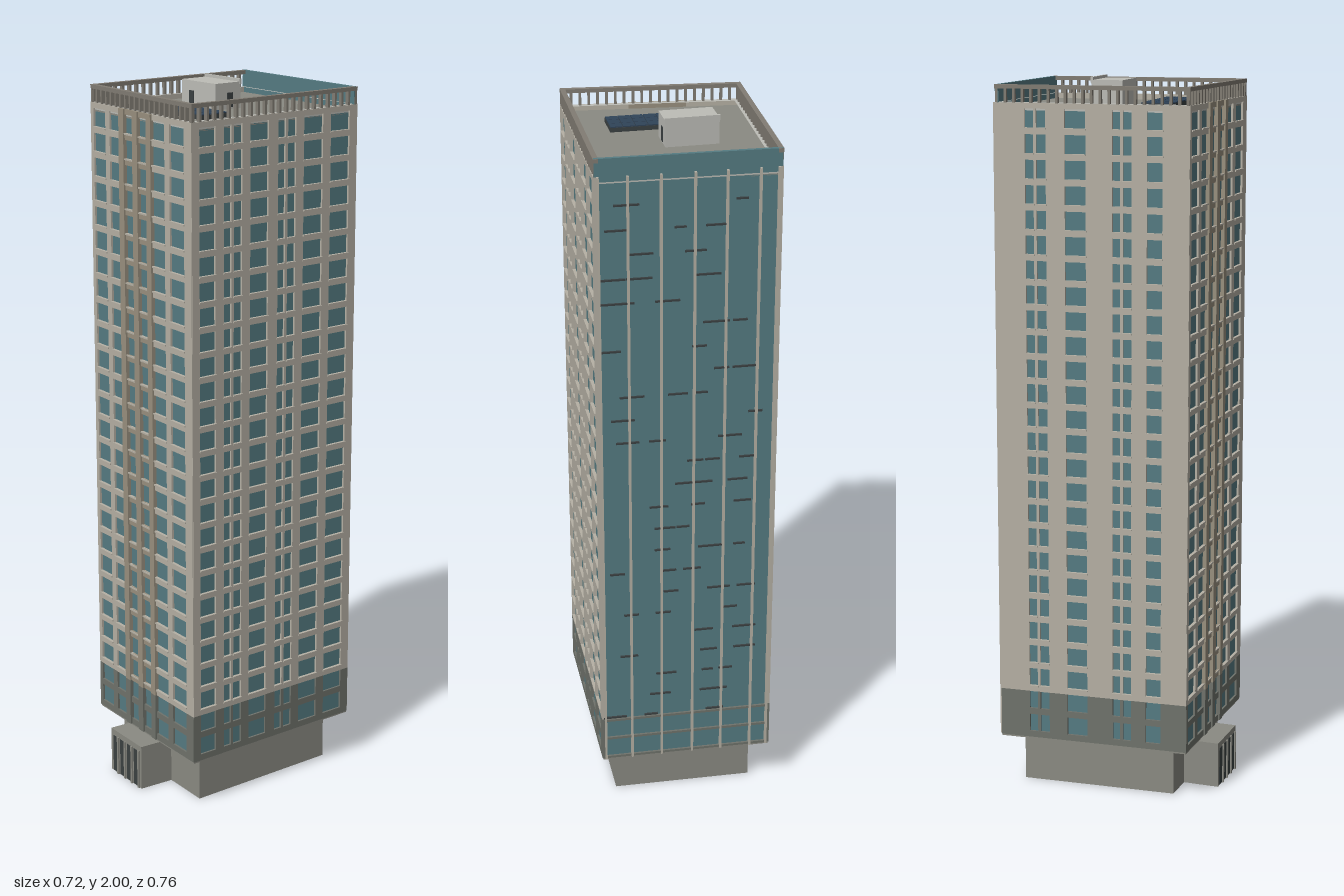
import * as THREE from 'three';
import { mergeGeometries } from 'three/addons/utils/BufferGeometryUtils.js';

const material = (name, color) => {
  const m = new THREE.MeshStandardMaterial({ color });
  m.name = name;
  return m;
};
const wall = material('pale concrete', 0xb6b1a5);
const tan = material('tan concrete', 0x99907f);
const stone = material('grey stone', 0x8b8b83);
const skirt = material('dark cladding', 0x70736c);
const glass = material('blue green glass', 0x567c83);
const dark = material('dark trim', 0x3b4142);
const rail = material('railing metal', 0x827d74);
const cap = material('light grey roofing', 0xbdbdb7);
const solar = material('solar blue', 0x304459);

// Plan corners (x, z): back, right, front, left
const BACK = [-0.02, -0.382], RIGHT = [0.36, -0.072], FRONT = [0.005, 0.38], LEFT = [-0.362, 0.043];
const INSET = 0.98, BOTTOM = 0.145, BAND = 0.282, TOP = 1.935, ROWS = 26;
const PITCH = (1.92 - BOTTOM) / ROWS;

// Box given by its limits on each axis
function box(x0, x1, y0, y1, z0, z1) {
  return new THREE.BoxGeometry(x1 - x0, y1 - y0, z1 - z0)
    .translate((x0 + x1) / 2, (y0 + y1) / 2, (z0 + z1) / 2);
}

function add(parent, name, mat, geos) {
  if (!geos.length) return;
  const mesh = new THREE.Mesh(mergeGeometries(geos), mat);
  mesh.name = name;
  parent.add(mesh);
}

// Four-sided block following the plan, scaled about the centre
function prism(scale, y0, y1, hole) {
  const pts = s => [BACK, RIGHT, FRONT, LEFT].map(([x, z]) => new THREE.Vector2(x * s, -z * s));
  const shape = new THREE.Shape(pts(scale));
  if (hole) shape.holes.push(new THREE.Path(pts(hole)));
  return new THREE.ExtrudeGeometry(shape, { depth: y1 - y0, bevelEnabled: false })
    .rotateX(-Math.PI / 2).translate(0, y0, 0);
}

// Group whose x runs along one side of the plan and whose z points outward
function side(root, name, p, q) {
  const g = new THREE.Group();
  const dx = (q[0] - p[0]) * INSET, dz = (q[1] - p[1]) * INSET;
  g.name = name;
  g.position.set(p[0] * INSET, 0, p[1] * INSET);
  g.rotation.y = Math.atan2(-dz, dx);
  root.add(g);
  return [g, Math.hypot(dx, dz)];
}

// Concrete grid around window columns; windows are [start, end] fractions
function facade(g, len, windows, bay) {
  const pale = [], low = [], tinted = [];
  const inBay = t => bay && t > bay[0] && t < bay[1];
  let from = -0.005 / len;
  for (const [a, b] of [...windows, [1 + 0.005 / len, 0]]) {
    const special = inBay((from + a) / 2), z = special ? 0.011 : 0.006;
    low.push(box(from * len, a * len, BOTTOM, BAND, -0.003, z));
    (special ? tinted : pale).push(box(from * len, a * len, BAND, 1.935, -0.003, z));
    from = b;
  }
  for (const [a, b] of windows) {
    for (let i = 0; i <= ROWS; i++) {
      const y = BOTTOM + i * PITCH;
      const list = y < BAND - 0.03 ? low : inBay((a + b) / 2) ? tinted : pale;
      list.push(box(a * len, b * len, y, i === ROWS ? 1.935 : y + 0.018, -0.003, 0.006));
    }
  }
  add(g, 'wallGrid', wall, pale);
  add(g, 'lowerCladding', skirt, low);
  add(g, 'bayPiers', tan, tinted);
  // Thin sills
  const sills = [];
  for (const [a, b] of windows)
    for (let i = 2; i < ROWS; i++) {
      const y = BOTTOM + i * PITCH + 0.014;
      sills.push(box(a * len - 0.002, b * len + 0.002, y, y + 0.004, 0, 0.009));
    }
  add(g, 'windowSills', wall, sills);
  // Open railing above the wall
  const bars = [box(-0.005, len + 0.005, 1.972, 1.983, -0.008, 0.006)];
  const n = Math.round(len / 0.024);
  for (let i = 0; i <= n; i++) {
    const x = i * len / n;
    bars.push(box(x - 0.0035, x + 0.0035, TOP, 1.973, -0.006, 0.005));
  }
  add(g, 'roofRailing', rail, bars);
}

// Glass side with slim fins and scattered floor trims
function curtainWall(g, len) {
  const fins = [], trims = [], frames = [];
  for (const t of [0.01, 0.17, 0.35, 0.535, 0.71, 0.89, 0.99])
    fins.push(box(t * len - 0.003, t * len + 0.003, BOTTOM, 1.935, -0.002, 0.012));
  let seed = 7;
  const rand = () => (seed = (seed * 16807) % 2147483647) / 2147483647;
  for (let i = 2; i < ROWS; i++)
    for (let k = 0; k < 3; k++) {
      const x = rand() * 0.85 * len, y = BOTTOM + i * PITCH;
      trims.push(box(x, x + 0.03 + rand() * 0.04, y, y + 0.005, -0.001, 0.005));
    }
  for (const y of [BOTTOM, 0.21, BAND - 0.01]) frames.push(box(0, len, y, y + 0.007, -0.002, 0.006));
  add(g, 'fins', wall, fins);
  add(g, 'floorTrims', dark, trims);
  add(g, 'lowerFrames', skirt, frames);
  add(g, 'glassParapet', glass, [box(-0.004, len + 0.004, 1.92, 1.983, -0.006, 0.004)]);
}

export function createModel() {
  const root = new THREE.Group();
  root.name = 'tower';

  // Main volumes
  add(root, 'base', stone, [prism(0.81, 0, 0.15)]);
  add(root, 'soffit', stone, [prism(0.995, 0.14, 0.147)]);
  add(root, 'glazedCore', glass, [prism(INSET, 0.146, 1.915)]);
  add(root, 'roofDeck', stone, [prism(INSET, 1.91, 1.92)]);
  add(root, 'roofCurb', cap, [prism(0.985, 1.915, 1.936, 0.93)]);

  // Four sides
  const [entry, entryLen] = side(root, 'entranceSide', LEFT, FRONT);
  facade(entry, entryLen, [[0.02, 0.145], [0.19, 0.3], [0.35, 0.44], [0.49, 0.58], [0.625, 0.75], [0.8, 0.94]], [0.29, 0.64]);
  const [east, eastLen] = side(root, 'windowedSide', FRONT, RIGHT);
  facade(east, eastLen, [[0.035, 0.13], [0.18, 0.225], [0.24, 0.29], [0.34, 0.45], [0.51, 0.555], [0.57, 0.62], [0.67, 0.79], [0.84, 0.96]]);
  const [glazed, glazedLen] = side(root, 'glassSide', RIGHT, BACK);
  curtainWall(glazed, glazedLen);
  const [solid, solidLen] = side(root, 'solidSide', BACK, LEFT);
  facade(solid, solidLen, [[0.15, 0.195], [0.21, 0.26], [0.36, 0.47], [0.61, 0.65], [0.665, 0.71], [0.79, 0.87]]);

  // Entrance block with doors, placed outward from the base
  const porch = new THREE.Group();
  porch.name = 'entrance';
  porch.rotation.y = entry.rotation.y;
  root.add(porch);
  add(porch, 'entranceBlock', stone, [box(-0.099, 0.064, 0, 0.13, 0.2, 0.326)]);
  const doors = [], posts = [];
  for (let i = 0; i < 4; i++) {
    const x = -0.087 + i * 0.037;
    doors.push(box(x, x + 0.025, 0.002, 0.112, 0.322, 0.327));
    posts.push(box(x + 0.025, x + 0.032, 0, 0.115, 0.322, 0.331));
  }
  add(porch, 'doors', dark, doors);
  add(porch, 'doorPosts', stone, posts);

  // Roof hut
  const hut = new THREE.Group();
  hut.name = 'roofHut';
  hut.position.set(-0.0425, 0, -0.045);
  hut.rotation.y = -0.645;
  root.add(hut);
  add(hut, 'hutWalls', cap, [box(-0.073, 0.073, 1.915, 1.992, -0.043, 0.045), box(-0.075, 0.075, 1.985, 2, -0.045, -0.038)]);
  add(hut, 'hutOpenings', dark, [
    box(0.071, 0.075, 1.925, 1.965, -0.015, 0.005),
    box(-0.04, -0.02, 1.925, 1.965, 0.043, 0.047),
  ]);

  // Solar array, 8 by 3 cells over a dark frame
  const array = new THREE.Group();
  array.name = 'solarArray';
  array.position.set(-0.087, 0, 0.103);
  array.rotation.y = -0.658;
  root.add(array);
  add(array, 'solarFrame', dark, [box(-0.139, 0.139, 1.915, 1.932, -0.0445, 0.0445)]);
  const cells = [];
  for (let i = 0; i < 8; i++)
    for (let j = 0; j < 3; j++) {
      const x = -0.139 + i * 0.03475, z = -0.0445 + j * 0.02967;
      cells.push(box(x + 0.001, x + 0.0337, 1.93, 1.935, z + 0.001, z + 0.0287));
    }
  add(array, 'solarCells', solar, cells);
  return root;
}
